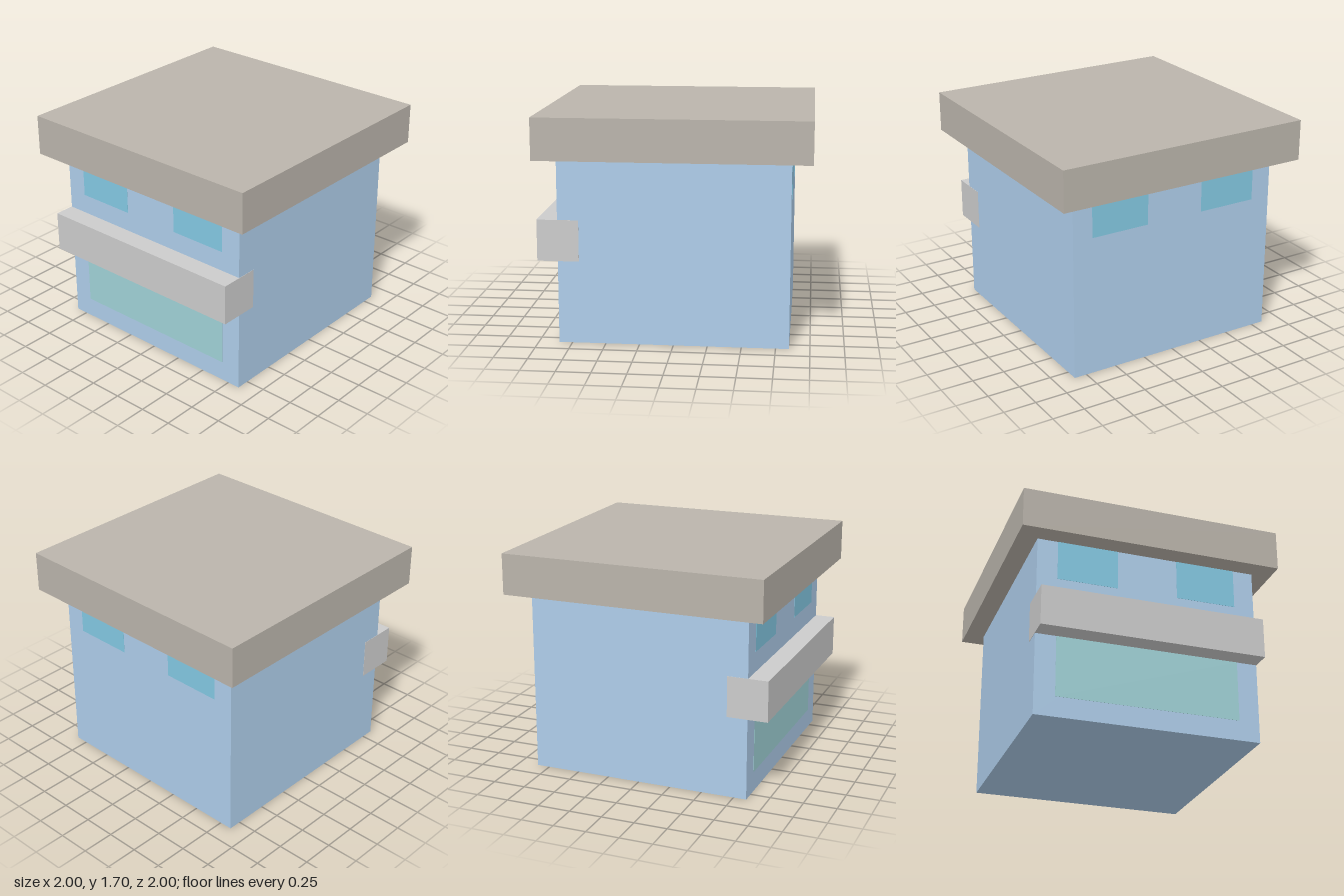
import * as THREE from 'three';

export function createModel() {
  const model = new THREE.Group();
  const material = (color) => new THREE.MeshStandardMaterial({ color });
  const wallMat = material(0xaecdea);
  const roofMat = material(0xbab4ab);
  const glassMat = material(0x83c8e2);
  const panelMat = material(0xa0d2d7);
  const ledgeMat = material(0xcccccc);

  // Box given by its lower and upper limits on each axis
  function block(name, [x0, x1], [y0, y1], [z0, z1], mat) {
    const mesh = new THREE.Mesh(new THREE.BoxGeometry(x1 - x0, y1 - y0, z1 - z0), mat);
    mesh.position.set((x0 + x1) / 2, (y0 + y1) / 2, (z0 + z1) / 2);
    mesh.name = name;
    model.add(mesh);
  }

  const half = 0.848;
  const skin = 0.002; // how far flush parts stand proud of the walls

  block('body', [-half, half], [0, 1.385], [-half, half], wallMat);
  block('roof', [-1, 1], [1.385, 1.695], [-1, 1], roofMat);

  // Ledge across the front, wrapping back onto the side walls
  block('frontLedge', [-half - skin, half + skin], [0.618, 0.926], [0.692, 1], ledgeMat);

  // Panel below the ledge
  block('frontPanel', [-0.692, 0.692], [0.154, 0.618], [half - 0.01, half + skin], panelMat);

  // A pair of windows under the roof, front and back
  for (const [face, z] of [
    ['front', [half - 0.01, half + skin]],
    ['back', [-half - skin, -half + 0.01]],
  ]) {
    block(face + 'WindowLeft', [0.231, 0.692], [1.078, 1.385], z, glassMat);
    block(face + 'WindowRight', [-0.692, -0.231], [1.078, 1.385], z, glassMat);
  }

  return model;
}
